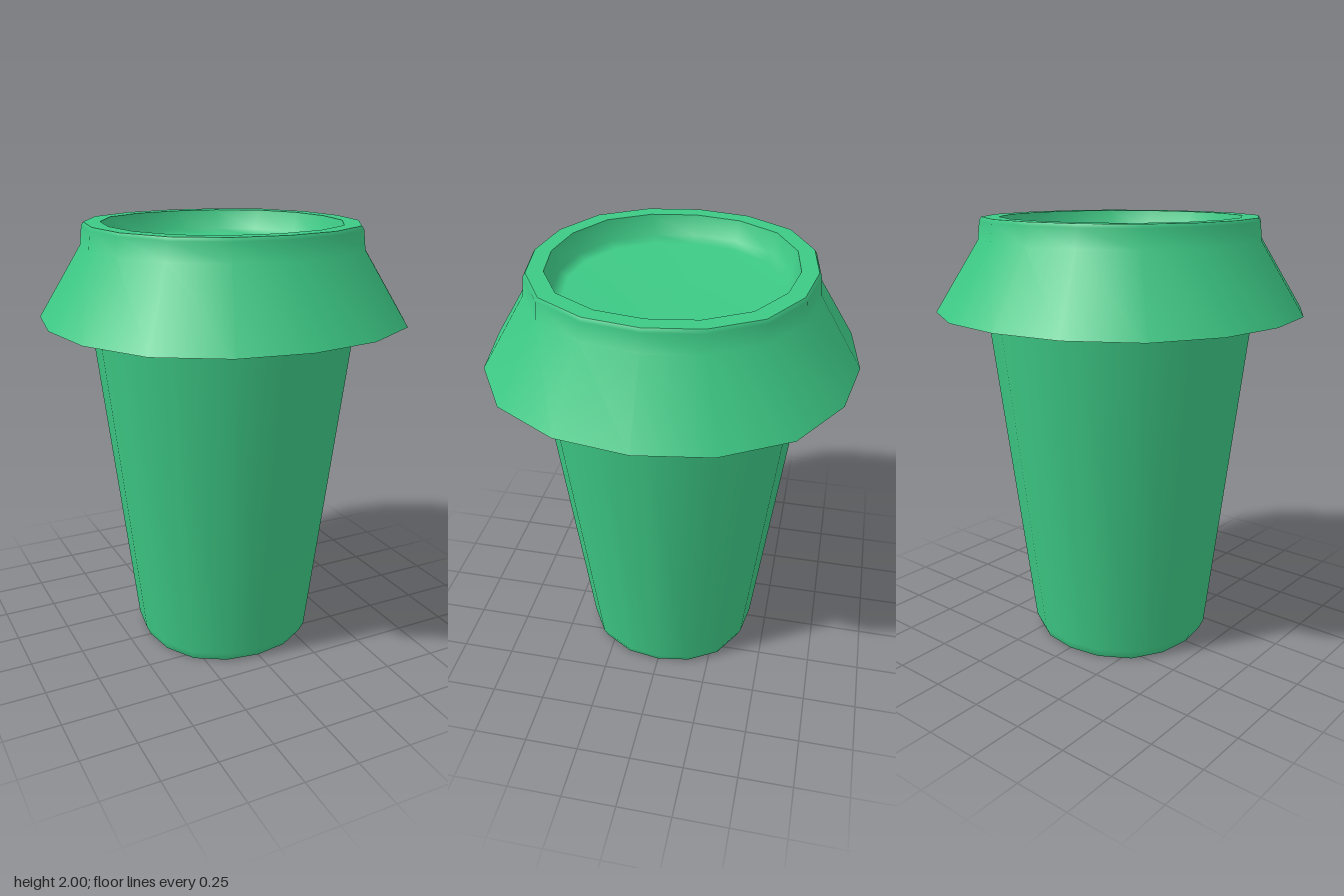
import * as THREE from 'three';

const SIDES = 16;
// Slightly squarish outline: radius factor at 0, 22.5 and 45 degrees
const SQUARE = [1, 1.016, 1.038, 1.016];

const material = new THREE.MeshStandardMaterial({ color: 0x3dc985 });

// One smooth surface turned from [radius, height] points; hard edges fall between surfaces
function turned(name, profile) {
  const geometry = new THREE.LatheGeometry(profile.map(([r, y]) => new THREE.Vector2(r, y)), SIDES);
  const pos = geometry.attributes.position;
  for (let i = 0; i < pos.count; i++) {
    const k = SQUARE[Math.floor(i / profile.length) % 4];
    pos.setXYZ(i, pos.getX(i) * k, pos.getY(i), pos.getZ(i) * k);
  }
  const mesh = new THREE.Mesh(geometry, material);
  mesh.name = name;
  return mesh;
}

export function createModel() {
  const model = new THREE.Group();
  model.name = 'lidded cup';

  // Tapered cup with a rounded foot
  const cup = new THREE.Group();
  cup.name = 'cup';
  cup.add(
    turned('cupBase', [[0, 0], [0.395, 0]]),
    turned('cupWall', [[0.395, 0], [0.415, 0.045], [0.59, 1.54]]),
  );

  // Flared lid with a raised rim and a recessed top
  const lid = new THREE.Group();
  lid.name = 'lid';
  lid.add(
    turned('lidUnderside', [[0.59, 1.54], [0.815, 1.58]]),
    turned('lidSkirt', [[0.815, 1.58], [0.622, 1.9], [0.613, 1.985], [0.603, 2]]),
    turned('lidRim', [[0.603, 2], [0.53, 2]]),
    turned('lidRecess', [[0.53, 2], [0.505, 1.91], [0.465, 1.885], [0, 1.88]]),
  );

  model.add(cup, lid);
  return model;
}
